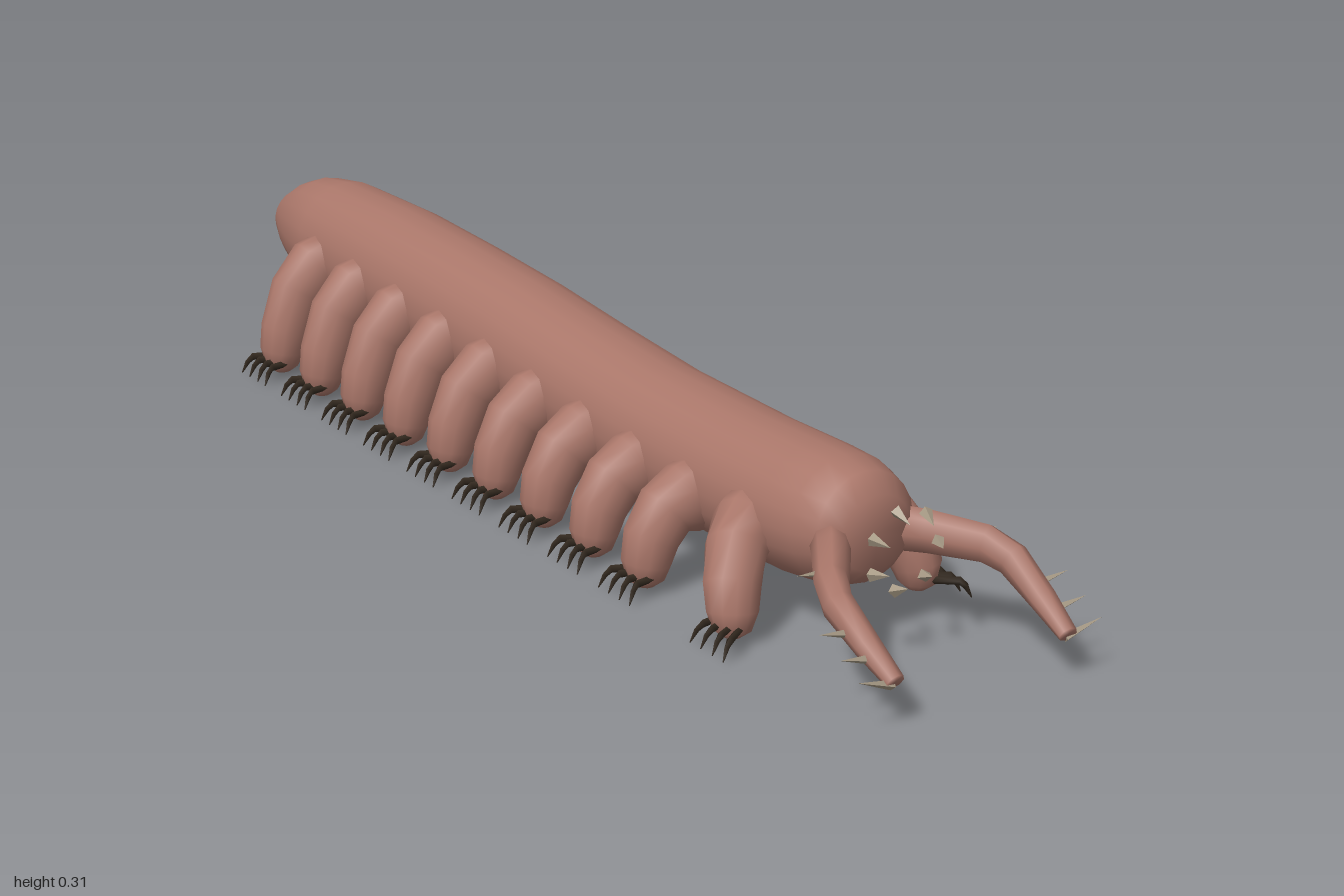
import * as THREE from 'three';

const V = (x, y, z) => new THREE.Vector3(x, y, z);

// Closed skin over elliptical rings: each station is [x, y, z, radius along ref, radius across]
function loft(stations, ref, sides) {
  const pos = [], index = [], n = stations.length;
  const centres = stations.map(s => V(s[0], s[1], s[2]));
  stations.forEach((s, i) => {
    const t = centres[Math.min(i + 1, n - 1)].clone().sub(centres[Math.max(i - 1, 0)]).normalize();
    const u = ref.clone().addScaledVector(t, -ref.dot(t)).normalize();
    const w = t.clone().cross(u);
    for (let j = 0; j < sides; j++) {
      const a = (j / sides) * Math.PI * 2;
      const p = centres[i].clone().addScaledVector(u, Math.cos(a) * s[3]).addScaledVector(w, Math.sin(a) * s[4]);
      pos.push(p.x, p.y, p.z);
    }
  });
  for (let i = 0; i < n - 1; i++) {
    for (let j = 0; j < sides; j++) {
      const a = i * sides + j, b = i * sides + (j + 1) % sides;
      index.push(a, b, b + sides, a, b + sides, a + sides);
    }
  }
  const first = n * sides, last = first + 1, end = (n - 1) * sides;
  pos.push(...centres[0].toArray(), ...centres[n - 1].toArray());
  for (let j = 0; j < sides; j++) {
    const k = (j + 1) % sides;
    index.push(first, k, j, last, end + j, end + k);
  }
  const g = new THREE.BufferGeometry();
  g.setAttribute('position', new THREE.Float32BufferAttribute(pos, 3));
  g.setIndex(index);
  g.computeVertexNormals();
  return g;
}

// Straight pointed cone between two points
function spikeGeometry(base, tip, radius) {
  const d = tip.clone().sub(base);
  const g = new THREE.ConeGeometry(radius, d.length(), 4).toNonIndexed();
  g.computeVertexNormals();
  g.applyQuaternion(new THREE.Quaternion().setFromUnitVectors(V(0, 1, 0), d.clone().normalize()));
  const m = base.clone().add(tip).multiplyScalar(0.5);
  return g.translate(m.x, m.y, m.z);
}

export function createModel() {
  const root = new THREE.Group();
  root.name = 'clawedWorm';
  const skin = new THREE.MeshStandardMaterial({ color: 0xa97669 });
  skin.name = 'skin';
  const dark = new THREE.MeshStandardMaterial({ color: 0x33291f });
  dark.name = 'darkClaw';
  const horn = new THREE.MeshStandardMaterial({ color: 0xa89b86 });
  horn.name = 'paleHorn';

  const add = (parent, name, geometry, material) => {
    const mesh = new THREE.Mesh(geometry, material);
    mesh.name = name;
    parent.add(mesh);
    return mesh;
  };

  // Body: z, belly height, back height, half width
  const profile = [
    [-1.0, 0.175, 0.24, 0.035], [-0.985, 0.155, 0.25, 0.046], [-0.94, 0.125, 0.272, 0.064],
    [-0.88, 0.108, 0.293, 0.083], [-0.8, 0.1, 0.305, 0.1], [-0.6, 0.093, 0.309, 0.105],
    [-0.4, 0.085, 0.303, 0.105], [-0.2, 0.075, 0.293, 0.105], [0, 0.064, 0.276, 0.105],
    [0.2, 0.055, 0.262, 0.105], [0.45, 0.051, 0.26, 0.105], [0.6, 0.058, 0.264, 0.105],
    [0.67, 0.068, 0.264, 0.1], [0.715, 0.086, 0.254, 0.085], [0.742, 0.11, 0.228, 0.06]
  ];
  add(root, 'body', loft(profile.map(([z, lo, hi, w]) => [0, (lo + hi) / 2, z, (hi - lo) / 2, w]), V(0, 1, 0), 20), skin);

  // Height of the body axis at a given z
  const axisY = z => {
    const i = Math.max(1, profile.findIndex(p => p[0] >= z));
    const [a, b] = [profile[i - 1], profile[i]];
    const k = (z - a[0]) / (b[0] - a[0]);
    return THREE.MathUtils.lerp((a[1] + a[2]) / 2, (b[1] + b[2]) / 2, k);
  };

  // Legs: root z and forward sweep; the front pair reaches forward
  const legs = [[0.535, 0.09]];
  for (let i = 0; i < 9; i++) legs.push([0.4 - i * 0.143, 0]);

  for (const side of [1, -1]) {
    const label = side > 0 ? 'left' : 'right';
    legs.forEach(([z, sweep], i) => {
      const leg = new THREE.Group();
      leg.name = `${label}Leg${i + 1}`;
      root.add(leg);
      const y = axisY(z);
      const st = [
        [0.04, y - 0.01, 0, 0.056, 0.062], [0.1, y - 0.025, 0.25, 0.05, 0.056],
        [0.132, 0.6 * y + 0.025, 0.55, 0.045, 0.048], [0.157, 0.08, 0.85, 0.043, 0.043],
        [0.165, 0.045, 1, 0.041, 0.037], [0.165, 0.02, 1, 0.032, 0.028], [0.164, 0.008, 1, 0.015, 0.014]
      ].map(([x, py, k, a, b]) => [side * x, py, z + sweep * k, a, b]);
      add(leg, 'legFlesh', loft(st, V(0, 0, 1), 12), skin);

      // Hooked claws fanned along the outer edge of the foot
      for (const f of [-1, -0.35, 0.35, 1]) {
        const cz = z + sweep + f * 0.026, lean = sweep * 0.2;
        add(leg, 'claw', loft([
          [side * 0.17, 0.028, cz, 0.006, 0.006],
          [side * 0.204, 0.029, cz + f * 0.009 + lean, 0.0065, 0.0065],
          [side * 0.213, 0.02, cz + f * 0.012 + lean, 0.005, 0.005],
          [side * 0.222, 0.001, cz + f * 0.016 + lean, 0.001, 0.001]
        ], V(0, 0, 1), 4), dark);
      }
    });

    // Jointed feeler beside the mouth
    const feeler = new THREE.Group();
    feeler.name = `${label}Feeler`;
    root.add(feeler);
    add(feeler, 'feelerArm', loft([
      [0.045, 0.155, 0.69, 0.036, 0.03], [0.085, 0.157, 0.75, 0.034, 0.028],
      [0.135, 0.151, 0.82, 0.03, 0.025], [0.153, 0.136, 0.86, 0.027, 0.023],
      [0.153, 0.1, 0.93, 0.02, 0.02], [0.15, 0.069, 0.99, 0.013, 0.015]
    ].map(([x, ...r]) => [side * x, ...r]), V(0, 1, 0), 8), skin);

    // Spines along the outer edge of the feeler: base, then tip
    for (const [b, t, r] of [
      [[0.14, 0.155, 0.79], [0.176, 0.161, 0.795], 0.005],
      [[0.16, 0.11, 0.9], [0.217, 0.122, 0.905], 0.008],
      [[0.158, 0.088, 0.945], [0.214, 0.1, 0.95], 0.008],
      [[0.15, 0.062, 0.983], [0.212, 0.081, 0.988], 0.008]
    ]) {
      add(feeler, 'feelerSpine', spikeGeometry(V(side * b[0], b[1], b[2]), V(side * t[0], t[1], t[2]), r), horn);
    }
  }

  // Ring of teeth hovering before the mouth
  const teeth = new THREE.Group();
  teeth.name = 'mouthTeeth';
  root.add(teeth);
  for (let i = 0; i < 7; i++) {
    const a = (i / 7) * Math.PI * 2;
    const at = (r, z) => V(Math.cos(a) * r, 0.166 + Math.sin(a) * r, z);
    add(teeth, 'tooth', spikeGeometry(at(0.062, 0.803), at(0.049, 0.833), 0.01), horn);
  }
  return root;
}
